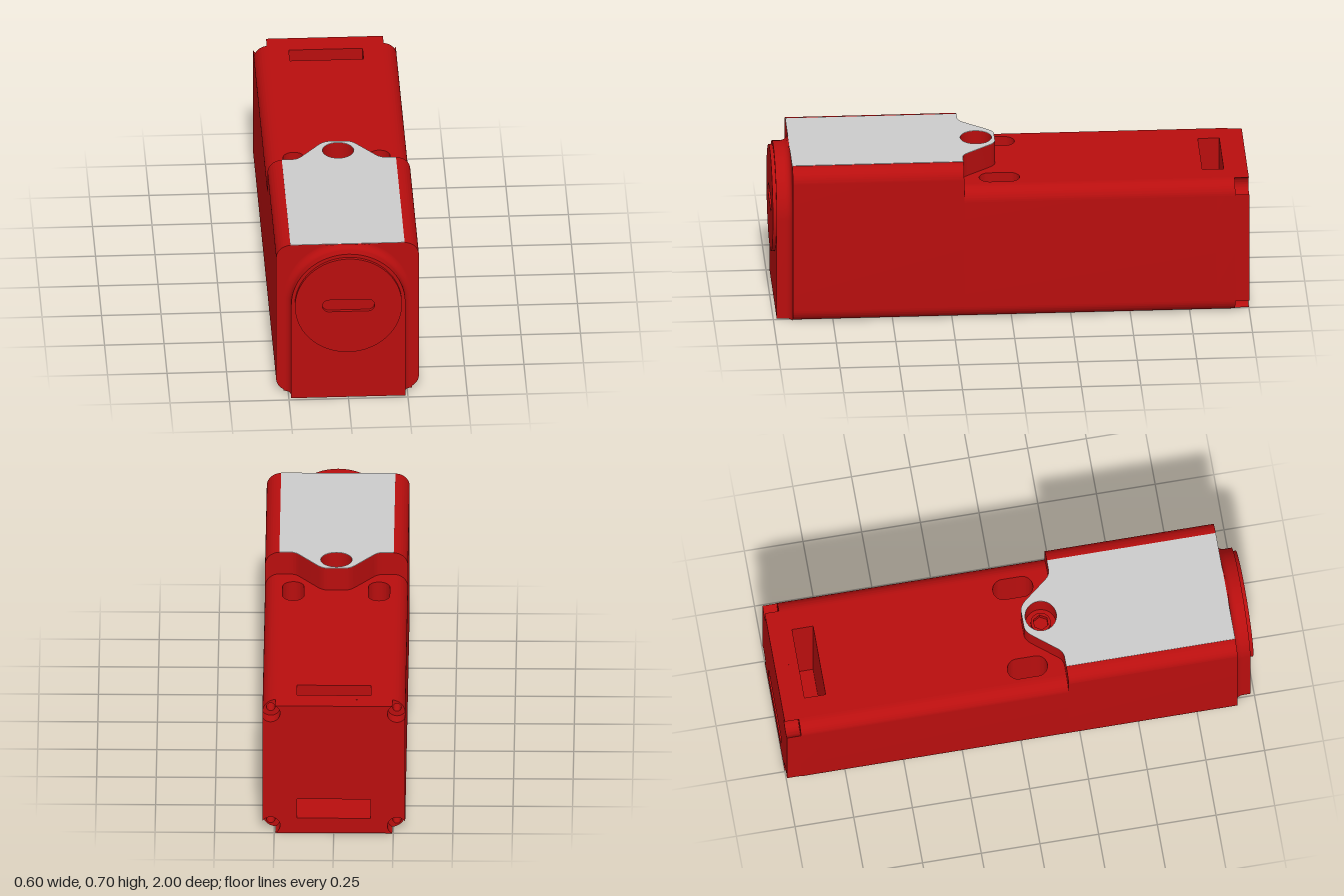
import * as THREE from 'three';
import { toCreasedNormals } from 'three/addons/utils/BufferGeometryUtils.js';
import { ParametricGeometry } from 'three/addons/geometries/ParametricGeometry.js';

const LOW = 0.6, HIGH = 0.702, W = 0.3, R = 0.06;
const red = new THREE.MeshStandardMaterial({ color: 0xb80e0e, side: THREE.DoubleSide });
const grey = new THREE.MeshStandardMaterial({ color: 0xcccccc });

// closed outlines
function rect(x0, y0, x1, y1) {
  return new THREE.Shape([[x0, y0], [x1, y0], [x1, y1], [x0, y1]].map(p => new THREE.Vector2(...p)));
}
function circle(x, y, r) {
  return new THREE.Shape().absarc(x, y, r, 0, Math.PI * 2);
}
// slot with round ends, lying along x or along y
function slot(cx, cy, halfX, halfY) {
  const s = new THREE.Shape();
  const r = Math.min(halfX, halfY), dx = halfX - r, dy = halfY - r;
  if (dx > 0) {
    s.absarc(cx + dx, cy, r, -Math.PI / 2, Math.PI / 2);
    s.absarc(cx - dx, cy, r, Math.PI / 2, Math.PI * 1.5);
  } else {
    s.absarc(cx, cy + dy, r, 0, Math.PI);
    s.absarc(cx, cy - dy, r, Math.PI, Math.PI * 2);
  }
  return s.closePath();
}

function extrude(shape, depth, holes = []) {
  shape.holes.push(...holes);
  const g = new THREE.ExtrudeGeometry(shape, { depth, bevelEnabled: false, curveSegments: 16 });
  return toCreasedNormals(g, 0.6);
}
// extrusion along z between two planes
function alongZ(shape, z0, z1, holes) {
  return extrude(shape, z1 - z0, holes).translate(0, 0, z0);
}
// extrusion of a plan outline (x, z) between two heights
function plan(shape, y0, y1, holes) {
  return extrude(shape, y1 - y0, holes).rotateX(Math.PI / 2).translate(0, y1, 0);
}

// tapered rear edge of the raised cover, in plan
function tongue() {
  const s = new THREE.Shape();
  s.moveTo(-0.24, 0.2).lineTo(-0.2, 0.2);
  s.quadraticCurveTo(-0.175, 0.2, -0.158, 0.18).lineTo(-0.078, 0.08);
  s.quadraticCurveTo(-0.056, 0.055, -0.035, 0.055).lineTo(0.035, 0.055);
  s.quadraticCurveTo(0.056, 0.055, 0.078, 0.08).lineTo(0.158, 0.18);
  s.quadraticCurveTo(0.175, 0.2, 0.2, 0.2).lineTo(0.24, 0.2);
  return s;
}

export function createModel() {
  const model = new THREE.Group();
  const add = (name, geometry, material = red) => {
    const mesh = new THREE.Mesh(geometry, material);
    mesh.name = name;
    model.add(mesh);
    return mesh;
  };

  // rear body core in three layers, leaving the through slots and the strap channel open
  const slots = () => [-1, 1].map(s => slot(s * 0.18, 0.045, 0.045, 0.085));
  add('coreBottom', plan(rect(-0.24, -0.94, 0.24, 0.2), 0, 0.07,
    [...slots(), rect(-0.09, -0.11, 0.09, 0.04)]));
  const notched = new THREE.Shape([[-0.24, -0.94], [-0.155, -0.94], [-0.155, -0.81], [0.155, -0.81],
    [0.155, -0.94], [0.24, -0.94], [0.24, 0.2], [-0.24, 0.2]].map(p => new THREE.Vector2(...p)));
  add('coreMiddle', plan(notched, 0.07, 0.16, slots()));
  add('coreTop', plan(rect(-0.24, -0.94, 0.24, 0.2), 0.16, LOW,
    [...slots(), rect(-0.155, -0.9, 0.155, -0.81)]));

  // sloping floor of the pocket underneath
  const ramp = new ParametricGeometry((u, v, p) =>
    p.set(-0.09 + 0.18 * u, 0.07 * v, 0.04 - 0.15 * v), 1, 1);
  add('undersideRamp', ramp);

  // rounded side rails, with screw holes near the rear end
  const rail = s => new THREE.Shape().moveTo(s * 0.24, 0)
    .absarc(s * 0.24, R, R, -Math.PI / 2, s > 0 ? 0 : -Math.PI, s < 0)
    .absarc(s * 0.24, LOW - R, R, s > 0 ? 0 : Math.PI, Math.PI / 2, s < 0);
  for (const s of [-1, 1]) {
    add('sideRail', alongZ(rail(s), -0.86, 0.2));
    add('sideRailEnd', alongZ(rail(s), -0.94, -0.86,
      [0.035, 0.565].map(y => circle(s * 0.265, y, 0.018))));
  }

  // rear end band with scooped corners and the strap opening
  const band = new THREE.Shape();
  const a0 = -0.507, a1 = 2.078;
  for (let i = 0; i < 4; i++) {
    const q = i * Math.PI / 2, a = q + Math.PI / 4, d = 0.265 * Math.SQRT2;
    band.absarc(d * Math.cos(a), 0.3 + d * Math.sin(a), 0.04, q + a0, q + a1, true);
  }
  add('rearBand', alongZ(band, -1, -0.94, [rect(-0.155, 0.07, 0.155, 0.16)]));

  // tall front block with rounded long edges
  const block = new THREE.Shape();
  [[0.24, HIGH - R], [-0.24, HIGH - R], [-0.24, R], [0.24, R]].forEach(([x, y], i) =>
    block.absarc(x, y, R, i * Math.PI / 2, (i + 1) * Math.PI / 2));
  add('frontBlock', alongZ(block, 0.2, 0.92));

  // raised tongue with screw well, and the plate on top
  const well = () => circle(0, 0.133, 0.066);
  add('tongue', plan(tongue(), LOW, HIGH, [well()]));
  add('topPlate', plan(tongue().lineTo(0.24, 0.92).lineTo(-0.24, 0.92), HIGH, HIGH + 0.002, [well()]), grey);
  const hex = new THREE.Shape(Array.from({ length: 6 }, (_, i) =>
    new THREE.Vector2(0.033 * Math.cos(i * Math.PI / 3), 0.133 + 0.033 * Math.sin(i * Math.PI / 3))));
  add('socketScrew', plan(circle(0, 0.133, 0.042), LOW, LOW + 0.025, [hex]));

  // arched front plate
  const arch = new THREE.Shape().moveTo(-0.24, 0).lineTo(0.24, 0).lineTo(0.24, 0.45);
  arch.absarc(0, 0.45, 0.24, 0, Math.PI);
  add('archPlate', alongZ(arch, 0.92, 0.985));

  // concave fillet between arch and block
  const cove = 0.03;
  add('archFillet', new ParametricGeometry((u, v, p) => {
    const t = v * Math.PI / 2, r = 0.24 + cove * (1 - Math.sin(t));
    const a = THREE.MathUtils.clamp((u - 0.1) / 0.8, 0, 1) * Math.PI;
    const drop = Math.min(1, u / 0.1, (1 - u) / 0.1);
    const y = 0.45 * drop + r * Math.sin(a);
    p.set(r * Math.cos(a), Math.min(y, HIGH), 0.92 + cove * (1 - Math.cos(t)));
  }, 60, 8));

  // round cap with a coin slot
  const cap = new THREE.Shape().absarc(0, 0.45, 0.225, 0, Math.PI * 2);
  const capGeometry = new THREE.ExtrudeGeometry(
    Object.assign(cap, { holes: [slot(0, 0.45, 0.11, 0.028)] }),
    { depth: 0.015, bevelEnabled: false, curveSegments: 48 });
  add('frontCap', toCreasedNormals(capGeometry, 0.6).translate(0, 0, 0.985));

  return model;
}
